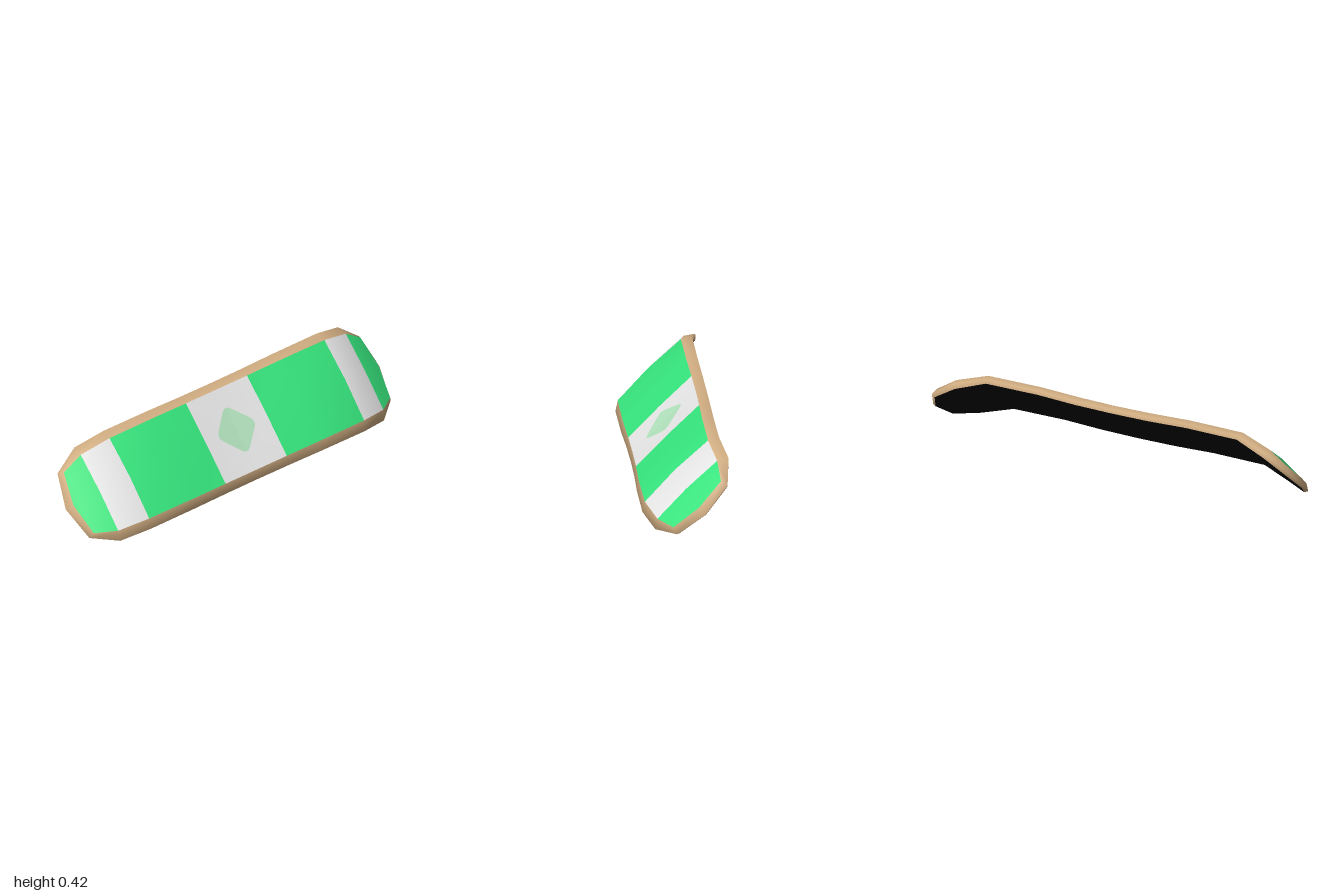
import * as THREE from 'three';
import { mergeVertices } from 'three/addons/utils/BufferGeometryUtils.js';

// Half of the deck, centre to tip: each ring is [x, half width, height]
const half = [
  { face: [0, 0.223, 0.191], edge: [0, 0.266, 0.160], back: [0, 0.254, 0.144], bulge: 0 },
  { face: [0.195, 0.223, 0.194], edge: [0.195, 0.267, 0.162], back: [0.195, 0.254, 0.146], bulge: 0.004 },
  { face: [0.4, 0.224, 0.202], edge: [0.4, 0.270, 0.170], back: [0.4, 0.256, 0.154], bulge: 0.010 },
  { face: [0.685, 0.223, 0.200], edge: [0.68, 0.271, 0.169], back: [0.675, 0.257, 0.152], bulge: 0.011 },
  { face: [0.845, 0.211, 0.146], edge: [0.84, 0.259, 0.113], back: [0.83, 0.242, 0.094], bulge: 0.008 },
  { face: [0.945, 0.168, 0.090], edge: [0.96, 0.179, 0.056], back: [0.945, 0.168, 0.045], bulge: 0.005 },
  { face: [0.973, 0, 0.080], edge: [1, 0, 0.040], back: [0.985, 0, 0.032], bulge: 0 },
];
const flip = ([x, w, h]) => [-x, w, h];
const stations = [
  ...half.slice(1).reverse().map(s => ({ face: flip(s.face), edge: flip(s.edge), back: flip(s.back), bulge: s.bulge })),
  ...half,
];

const material = (name, color) => {
  const m = new THREE.MeshStandardMaterial({ color });
  m.name = name;
  return m;
};

function makeGeometry(positions, index) {
  const g = new THREE.BufferGeometry();
  g.setAttribute('position', new THREE.Float32BufferAttribute(positions, 3));
  g.setIndex(index);
  return g;
}

function finish(g) {
  const merged = mergeVertices(g);
  merged.computeVertexNormals();
  return merged;
}

// Broad surface spanning the given ring, raised along the centre line
function sheet(ring, up) {
  const cols = 2, positions = [], index = [];
  for (const s of stations) {
    const [x, w, h] = s[ring];
    for (const u of [-1, 0, 1]) positions.push(x, h + s.bulge * (1 - Math.abs(u)), u * w);
  }
  for (let r = 0; r < stations.length - 1; r++) {
    for (let c = 0; c < cols; c++) {
      const a = r * (cols + 1) + c, b = a + 1, d = a + cols + 1, e = d + 1;
      if (up) index.push(a, b, d, b, e, d);
      else index.push(a, d, b, b, d, e);
    }
  }
  return { geometry: makeGeometry(positions, index), perRow: cols * 6 };
}

// Bevelled border running around the outline
function rimGeometry() {
  const loop = [
    ...stations.map(s => [s, 1]),
    ...stations.slice(1, -1).reverse().map(s => [s, -1]),
  ];
  const positions = [], index = [], layers = 3;
  for (const [s, side] of loop) {
    for (const [x, w, h] of [s.face, s.edge, s.back]) positions.push(x, h, side * w);
  }
  for (let i = 0; i < loop.length; i++) {
    const next = (i + 1) % loop.length;
    for (let k = 0; k < layers - 1; k++) {
      const a = i * layers + k, b = next * layers + k;
      index.push(a, a + 1, b, a + 1, b + 1, b);
    }
  }
  return finish(makeGeometry(positions, index));
}

// Height of the painted face near the middle
function faceHeight(x, z) {
  const t = Math.min(Math.abs(x) / 0.195, 1);
  return 0.191 + 0.003 * t + 0.004 * t * (1 - Math.abs(z) / 0.223);
}

// Diamond with softened corners, following the face
function diamondGeometry() {
  const rx = 0.125, rz = 0.135, k = 0.21;
  const corners = [[rx, 0], [0, rz], [-rx, 0], [0, -rz]].map(p => new THREE.Vector2(...p));
  const outline = [];
  corners.forEach((c, i) => {
    const from = c.clone().lerp(corners[(i + 3) % 4], k), to = c.clone().lerp(corners[(i + 1) % 4], k);
    outline.push(...new THREE.QuadraticBezierCurve(from, c, to).getPoints(4));
  });
  const rings = 6, n = outline.length, positions = [], index = [];
  for (let j = 0; j <= rings; j++) {
    for (const p of outline) {
      const x = p.x * j / rings, z = p.y * j / rings;
      positions.push(x, faceHeight(x, z) + 0.003, z);
    }
  }
  for (let j = 0; j < rings; j++) {
    for (let i = 0; i < n; i++) {
      const a = j * n + i, b = j * n + (i + 1) % n;
      index.push(a, b, a + n, b, b + n, a + n);
    }
  }
  return finish(makeGeometry(positions, index));
}

export function createModel() {
  const green = material('green paint', 0x36e57d);
  const white = material('white paint', 0xe5e5e5);
  const paleGreen = material('pale green paint', 0xb1e1bc);
  const wood = material('wood', 0xd4b084);
  const black = material('black grip', 0x050505);

  const model = new THREE.Group();
  model.name = 'skateboardDeck';
  const add = (name, geometry, mat) => {
    const mesh = new THREE.Mesh(geometry, mat);
    mesh.name = name;
    model.add(mesh);
  };

  // Painted underside, striped by station
  const painted = sheet('face', true);
  for (let r = 0; r < stations.length - 1; r++) {
    const mid = Math.abs(stations[r].face[0] + stations[r + 1].face[0]) / 2;
    const isWhite = mid < 0.195 || (mid > 0.685 && mid < 0.845);
    painted.geometry.addGroup(r * painted.perRow, painted.perRow, isWhite ? 1 : 0);
  }
  add('paintedFace', finish(painted.geometry), [green, white]);
  add('diamond', diamondGeometry(), paleGreen);

  // Wooden border and grip side
  add('rim', rimGeometry(), wood);
  add('gripFace', finish(sheet('back', false).geometry), black);

  // Lean the deck back
  model.rotation.x = Math.PI / 4;
  model.position.set(0, 0.104, -0.104);

  const root = new THREE.Group();
  root.name = 'leaningSkateboardDeck';
  root.add(model);
  return root;
}
